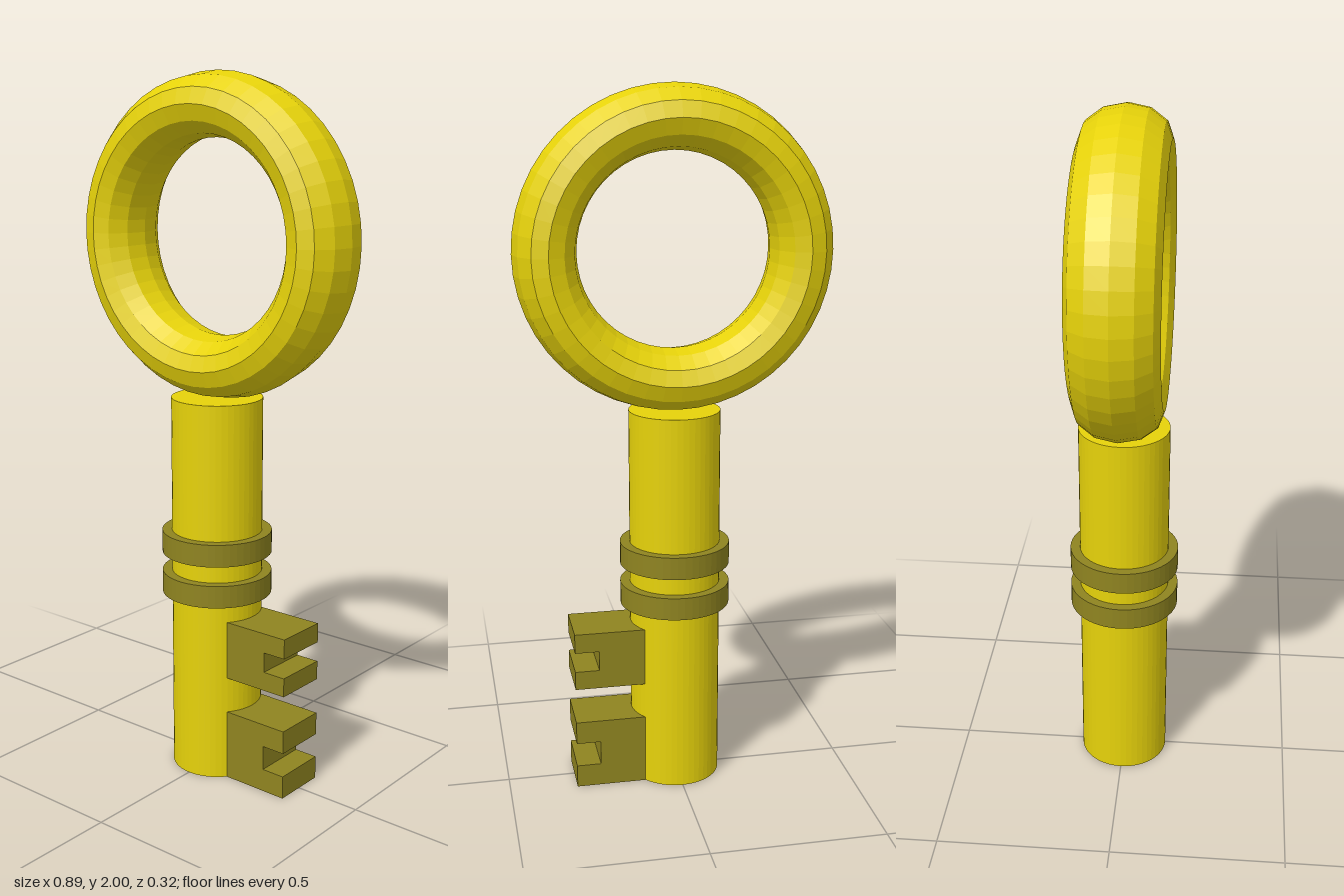
import * as THREE from 'three';

const gold = new THREE.MeshStandardMaterial({ color: 0xe6d20a, flatShading: true });
const olive = new THREE.MeshStandardMaterial({ color: 0x8f8420, flatShading: true });

export function createModel() {
  const key = new THREE.Group();
  key.name = 'key';

  function add(name, geometry, material, x, y, z) {
    const mesh = new THREE.Mesh(geometry, material);
    mesh.name = name;
    mesh.position.set(x, y, z);
    key.add(mesh);
    return mesh;
  }

  // Ring handle: twelve-sided tube, deeper front to back than it is wide
  const bow = new THREE.TorusGeometry(0.357, 0.088, 12, 48);
  bow.scale(1, 1, 0.12 / 0.088);
  add('bow', bow, gold, 0, 1.555, 0);

  // Round shaft
  add('shaft', new THREE.CylinderGeometry(0.13, 0.13, 1.11, 48), gold, 0, 0.555, 0);

  // Two collars around the shaft
  for (const [name, y] of [['lowerCollar', 0.567], ['upperCollar', 0.688]]) {
    add(name, new THREE.CylinderGeometry(0.158, 0.158, 0.065, 48), olive, 0, y, 0);
  }

  // Notched teeth on the left side, rooted inside the shaft
  function tooth(name, y, height, notchLow, notchHigh) {
    const outline = new THREE.Shape([
      [0.04, 0], [0.305, 0], [0.305, notchLow], [0.235, notchLow],
      [0.235, notchHigh], [0.305, notchHigh], [0.305, height], [0.04, height],
    ].map(([px, py]) => new THREE.Vector2(px, py)));
    const geometry = new THREE.ExtrudeGeometry(outline, { depth: 0.16, bevelEnabled: false });
    add(name, geometry, olive, 0, y, -0.08);
  }
  tooth('lowerTooth', 0, 0.205, 0.067, 0.138);
  tooth('upperTooth', 0.31, 0.17, 0.055, 0.113);

  return key;
}
